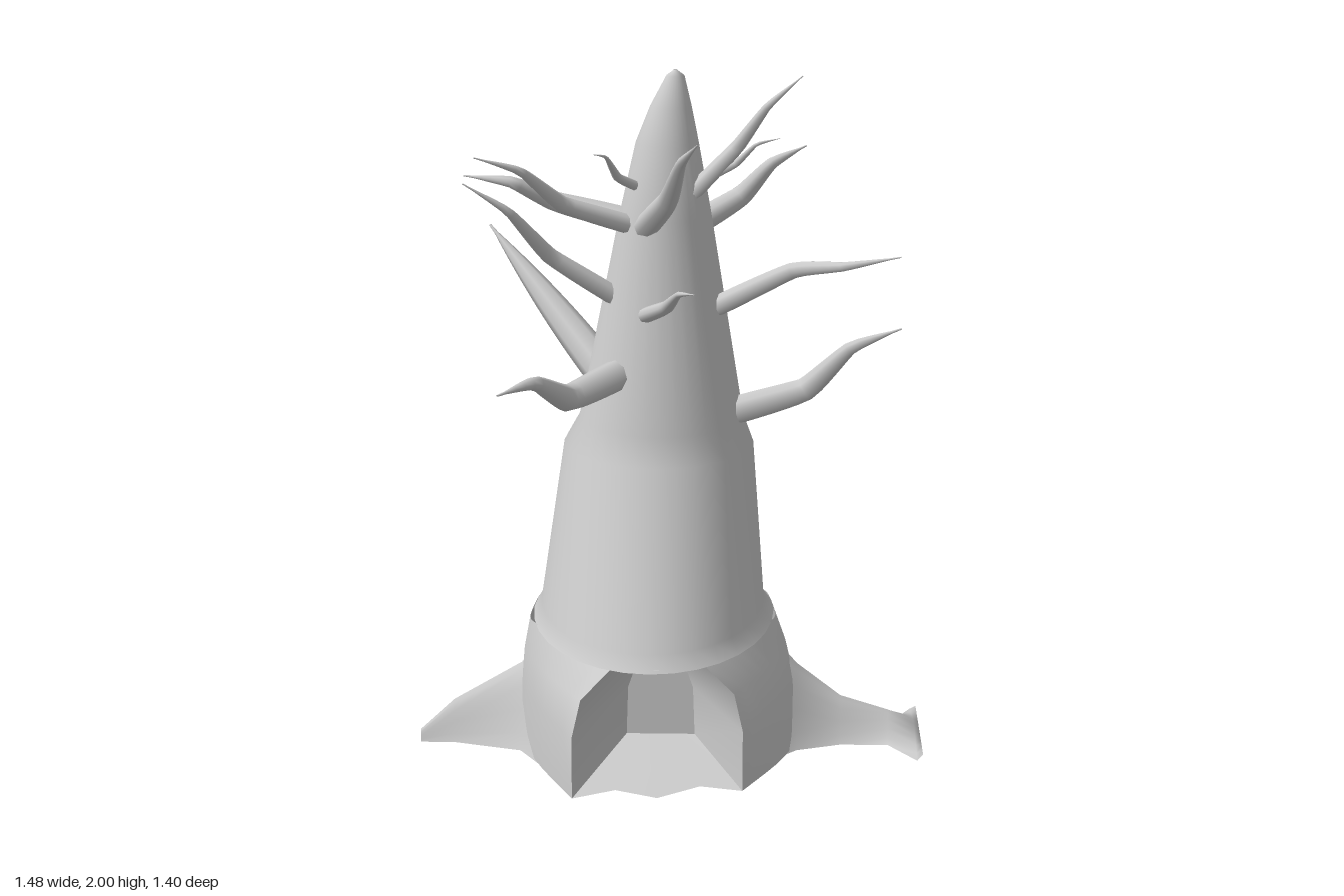
import * as THREE from 'three';
import { toCreasedNormals } from 'three/addons/utils/BufferGeometryUtils.js';

const bark = new THREE.MeshStandardMaterial({ color: 0xcccccc, side: THREE.DoubleSide });

// Skin a surface over rings that all have the same number of points
function loft(rings, closed) {
  const n = rings[0].length, index = [];
  for (let r = 0; r < rings.length - 1; r++) {
    for (let i = 0; i < (closed ? n : n - 1); i++) {
      const a = r * n + i, b = r * n + (i + 1) % n;
      index.push(a, b, a + n, b, b + n, a + n);
    }
  }
  const g = new THREE.BufferGeometry();
  g.setAttribute('position', new THREE.Float32BufferAttribute(rings.flat(2), 3));
  g.setIndex(index);
  g.computeVertexNormals();
  return g;
}

// Trunk ring: round back, front half stretched to zf
function trunkRing([y, x0, x1, zb, zf]) {
  const rx = (x1 - x0) / 2, cx = (x0 + x1) / 2;
  const back = Math.min(rx, (zf - zb) / 2), cz = zb + back;
  return Array.from({ length: 32 }, (_, i) => {
    const t = i / 32 * Math.PI * 2, c = Math.cos(t);
    return [cx + rx * Math.sin(t), y, cz + c * (c > 0 ? zf - cz : back)];
  });
}

// Doorway loop: half profile [halfWidth, y, z] mirrored; skew turns it slightly
function doorwayLoop(half, skew) {
  const side = s => ([w, y, z]) => [-0.03 + s * w, y, z - s * w * skew];
  return [...half.map(side(-1)), ...half.slice(1, -1).reverse().map(side(1))];
}

// Base ring: open at the front, from the right jamb round the back to the left jamb
function baseRing(x0, x1, zb, jambR, jambL) {
  const y = jambR[1], cz = 0.09;
  const pts = [jambR, [(jambR[0] + x1) / 2 + 0.01, y, (jambR[2] + 0.18) / 2], [x1, y, 0.17]];
  for (let i = 0; i <= 10; i++) {
    const t = i / 10 * Math.PI;
    pts.push([(x0 + x1) / 2 + (x1 - x0) / 2 * Math.cos(t), y, cz - (cz - zb) * Math.sin(t)]);
  }
  pts.push([x0, y, 0.2], [(jambL[0] + x0) / 2 - 0.01, y, (jambL[2] + 0.2) / 2], jambL);
  const curve = new THREE.CatmullRomCurve3(pts.map(p => new THREE.Vector3(...p)), false, 'catmullrom', 0.3);
  return curve.getPoints(48).map(p => p.toArray());
}

// Root: ridge sections [x, zLow, zHigh, height]
function root(sections) {
  const dir = Math.sign(sections[0][0]);
  return loft(sections.map(([x, z0, z1, h]) => Array.from({ length: 11 }, (_, i) => {
    const t = dir > 0 ? i / 10 : 1 - i / 10;
    return [x, 0.015 + h * Math.sin(t * Math.PI) ** 1.4, z0 + (z1 - z0) * t];
  })), false);
}

// Branch: tube that thins to a point; a crooked one sags at one elbow and lifts at the next
function branch(radius, from, to, sag) {
  const a = new THREE.Vector3(...from), b = new THREE.Vector3(...to);
  const lowElbow = a.clone().lerp(b, 0.44), highElbow = a.clone().lerp(b, 0.7);
  if (sag) {
    lowElbow.add(new THREE.Vector3(0, -sag, -0.025));
    highElbow.add(new THREE.Vector3(0, 0.025, 0.025));
  }
  const path = new THREE.CatmullRomCurve3([a, lowElbow, highElbow, b], false, 'catmullrom', 0.2);
  const n = 18, sides = 8;
  const g = new THREE.TubeGeometry(path, n, radius, sides, false);
  const pos = g.attributes.position, v = new THREE.Vector3();
  for (let i = 0; i <= n; i++) {
    const c = path.getPointAt(i / n), f = Math.max(0.06, 1 - (i / n) ** 1.9);
    for (let j = 0; j <= sides; j++) {
      const k = i * (sides + 1) + j;
      v.fromBufferAttribute(pos, k).sub(c).multiplyScalar(f).add(c);
      pos.setXYZ(k, v.x, v.y, v.z);
    }
  }
  return g;
}

export function createModel() {
  const group = new THREE.Group();
  const add = (name, geometry) => {
    const mesh = new THREE.Mesh(geometry, bark);
    mesh.name = name;
    group.add(mesh);
  };

  // Trunk, from the lip over the doorway to the tip: y, x range, z range
  add('trunk', loft([
    [0.405, -0.405, 0.3, -0.265, 0.56],
    [0.45, -0.38, 0.27, -0.23, 0.53],
    [0.92, -0.31, 0.235, -0.18, 0.315],
    [1.0, -0.265, 0.205, -0.157, 0.28],
    [1.6, -0.145, 0.11, -0.06, 0.208],
    [1.8, -0.1, 0.075, 0.0, 0.155],
    [1.9, -0.06, 0.055, 0.02, 0.125],
    [1.985, -0.015, 0.035, 0.05, 0.095],
    [2.0, 0.005, 0.015, 0.068, 0.078],
  ].map(trunkRing), true));

  // Doorway: splayed tunnel from the door to the mouth
  const mouth = doorwayLoop([
    [0, 0.025, 0.56], [0.12, 0.025, 0.5], [0.24, 0.02, 0.53], [0.24, 0.2, 0.52],
    [0.215, 0.31, 0.505], [0.12, 0.41, 0.5], [0, 0.415, 0.555],
  ], 0.12);
  const doorOutline = doorwayLoop([
    [0, 0.05], [0.055, 0.05], [0.1, 0.05], [0.095, 0.2], [0.065, 0.29], [0.035, 0.38], [0, 0.38],
  ].map(p => [...p, 0.2]), 0);
  add('doorwayTunnel', toCreasedNormals(loft([doorOutline, mouth], true), 0.6));
  const door = new THREE.ShapeGeometry(new THREE.Shape(doorOutline.map(p => new THREE.Vector2(p[0], p[1]))));
  door.translate(0, 0, 0.2);
  add('door', door);

  // Flared base, joined to the doorway jambs level by level: x range, back z
  add('base', toCreasedNormals(loft([
    [-0.44, 0.38, -0.31], [-0.435, 0.36, -0.29], [-0.425, 0.335, -0.277], [-0.405, 0.3, -0.265],
  ].map((size, i) => baseRing(...size, mouth[10 - i], mouth[2 + i])), false), 0.8));

  // Roots spreading to both sides
  add('leftRoot', root([
    [0.27, -0.02, 0.32, 0.36], [0.37, 0.03, 0.23, 0.235], [0.5, 0.06, 0.19, 0.13],
    [0.64, 0.08, 0.19, 0.09], [0.72, -0.06, 0.29, 0.035], [0.74, -0.08, 0.25, 0],
  ]));
  add('rightRoot', root([
    [-0.35, -0.02, 0.38, 0.38], [-0.44, 0.03, 0.25, 0.235], [-0.64, 0.11, 0.2, 0.12],
    [-0.74, 0.17, 0.2, 0.035], [-0.74, 0.18, 0.19, -0.015],
  ]));

  // Straight limbs at the back: radius, start, end
  [
    [0.058, [0.045, 1.13, -0.06], [0.045, 1.61, -0.7]],
    [0.055, [-0.19, 1.07, -0.06], [-0.56, 1.43, -0.43]],
  ].forEach((limb, i) => add('backLimb' + (i + 1), branch(...limb, 0)));

  // Crooked branches: radius, start, end, sag
  [
    [0.042, [0.17, 1.02, 0.1], [0.65, 1.27, 0.1], 0.05],
    [0.03, [0.11, 1.33, 0.12], [0.63, 1.53, 0.29], -0.04],
    [0.038, [0.05, 1.53, -0.03], [0.38, 1.74, -0.15], 0.02],
    [0.024, [0.04, 1.65, 0.14], [0.36, 1.99, 0.1], 0.01],
    [0.012, [0.08, 1.7, 0.13], [0.3, 1.82, 0.12], 0.01],
    [0.027, [-0.12, 1.58, 0.14], [-0.52, 1.82, 0.38], 0.03],
    [0.028, [-0.16, 1.37, 0.13], [-0.56, 1.73, 0.3], 0.03],
    [0.036, [-0.13, 1.56, 0.01], [-0.59, 1.68, -0.01], 0.01],
    [0.034, [-0.07, 1.58, 0.17], [0.08, 1.92, 0.66], 0.03],
    [0.022, [-0.07, 1.34, 0.22], [0.07, 1.5, 0.57], 0.01],
    [0.045, [-0.15, 1.16, 0.2], [-0.44, 1.26, 0.7], 0.05],
    [0.014, [-0.1, 1.69, 0.14], [-0.2, 1.83, 0.38], 0.02],
  ].forEach((spec, i) => add('branch' + (i + 1), branch(...spec)));

  return group;
}
